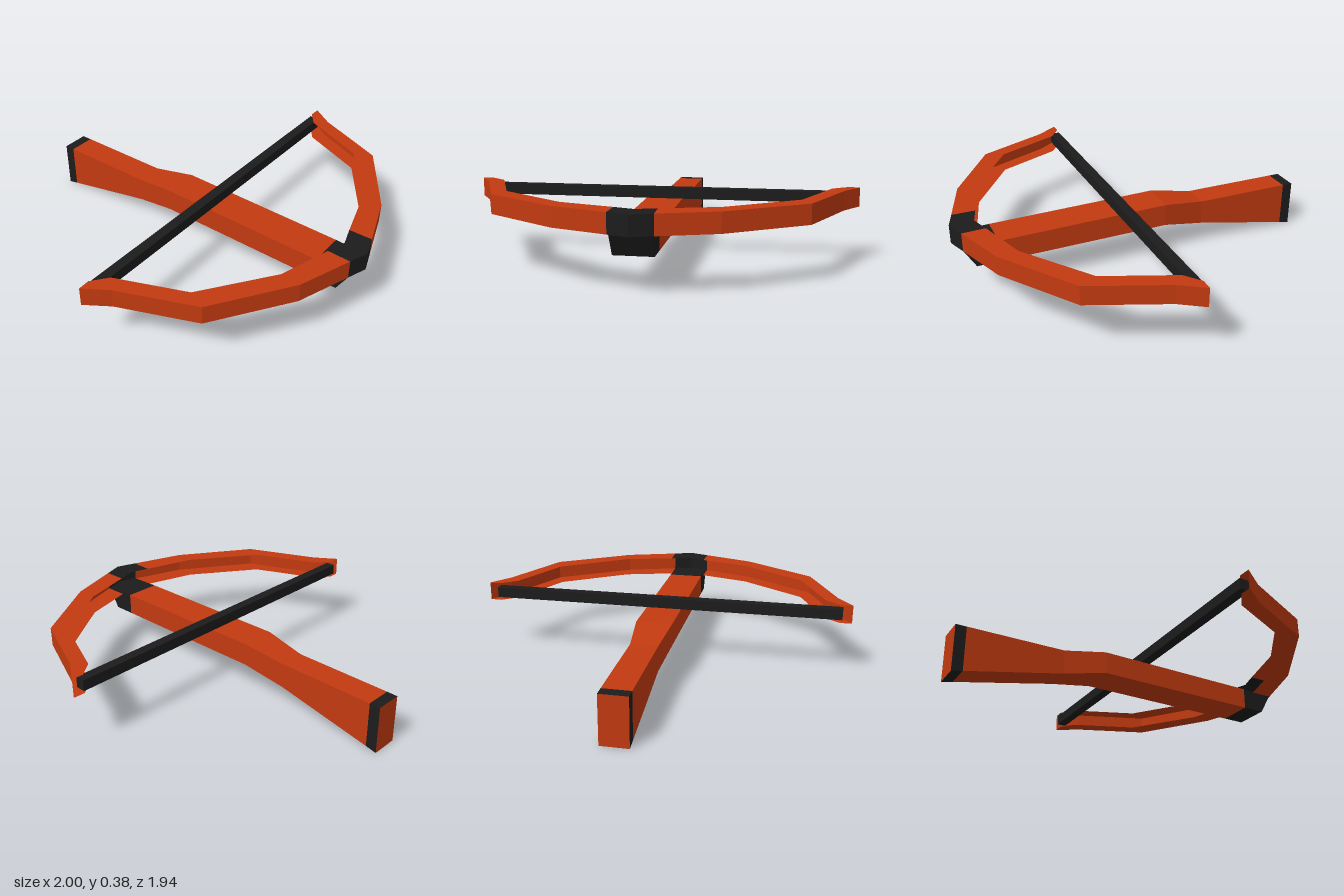
import * as THREE from 'three';

const orange = new THREE.MeshStandardMaterial({ color: 0xc23a10, flatShading: true, side: THREE.DoubleSide });
const black = new THREE.MeshStandardMaterial({ color: 0x1c1c1c, flatShading: true, side: THREE.DoubleSide });

// Skin a row of cross-sections; closed sections may be capped at either end
function loft(sections, { closed = true, capStart = false, capEnd = false } = {}) {
  const n = sections[0].length;
  const index = [];
  for (let s = 0; s < sections.length - 1; s++) {
    for (let i = 0; i < (closed ? n : n - 1); i++) {
      const j = (i + 1) % n;
      const a = s * n + i, b = s * n + j, c = b + n, d = a + n;
      index.push(a, d, c, a, c, b);
    }
  }
  const last = (sections.length - 1) * n;
  for (let i = 1; i < n - 1; i++) {
    if (capStart) index.push(0, i, i + 1);
    if (capEnd) index.push(last, last + i + 1, last + i);
  }
  const indexed = new THREE.BufferGeometry();
  indexed.setAttribute('position', new THREE.Float32BufferAttribute(sections.flat(2), 3));
  indexed.setIndex(index);
  const geometry = indexed.toNonIndexed();
  geometry.computeVertexNormals();
  return geometry;
}

// Rectangular stock section; the bottom edge may sit at another z
const rect = (z, w, bottom, top, zBottom = z) => [
  [-w, bottom, zBottom], [w, bottom, zBottom], [w, top, z], [-w, top, z],
];

// Open channel section of the bow: outer wall, top and bottom, open at the back
const channel = ([xOut, zOut, xIn, zIn]) => [
  [xIn, 0.28, zIn], [xOut, 0.28, zOut], [xOut, 0.378, zOut], [xIn, 0.378, zIn],
];

const mirror = ([xOut, zOut, xIn, zIn]) => [-xOut, zOut, -xIn, zIn];

export function createModel() {
  const group = new THREE.Group();
  const add = (name, geometry, material) => {
    const mesh = new THREE.Mesh(geometry, material);
    mesh.name = name;
    group.add(mesh);
    return mesh;
  };

  // Stock, narrowing and dropping toward the butt
  const front = rect(0.75, 0.095, 0.175, 0.29);
  const bandStart = rect(-0.915, 0.071, 0.013, 0.251);
  const bandEnd = rect(-0.972, 0.071, 0, 0.25);
  add('stock', loft([
    front,
    rect(-0.16, 0.095, 0.175, 0.295),
    rect(-0.39, 0.071, 0.125, 0.257),
    bandStart,
  ]), orange);

  // Dark nose, undercut at the front
  add('stockNose', loft([rect(0.935, 0.095, 0.175, 0.285, 0.87), front], { capStart: true }), black);

  // Dark band around the butt, with a coloured end face
  add('buttBand', loft([bandStart, bandEnd]), black);
  const buttEnd = add('buttEnd', new THREE.PlaneGeometry(0.142, 0.25), orange);
  buttEnd.rotation.y = Math.PI;
  buttEnd.position.set(0, 0.125, -0.972);

  // Bow: stations are outer x, z and inner x, z
  const root = [0.103, 0.931, 0.1, 0.81];
  const limb = [
    root,
    [0.38, 0.835, 0.37, 0.73],
    [0.76, 0.58, 0.715, 0.485],
    [0.92, 0.2, 0.86, 0.14],
    [1.0, 0.08, 0.94, 0.078],
  ];
  add('leftLimb', loft(limb.map(channel), { closed: false }), orange);
  add('rightLimb', loft(limb.map(mirror).reverse().map(channel), { closed: false }), orange);
  add('bowClamp', loft(
    [mirror(root), [0, 0.967, 0, 0.842], root].map(channel), { closed: false }), black);

  // String bar between the limb tips
  const string = add('bowString', new THREE.BoxGeometry(1.9, 0.056, 0.052), black);
  string.position.set(0, 0.328, 0.092);

  return group;
}
